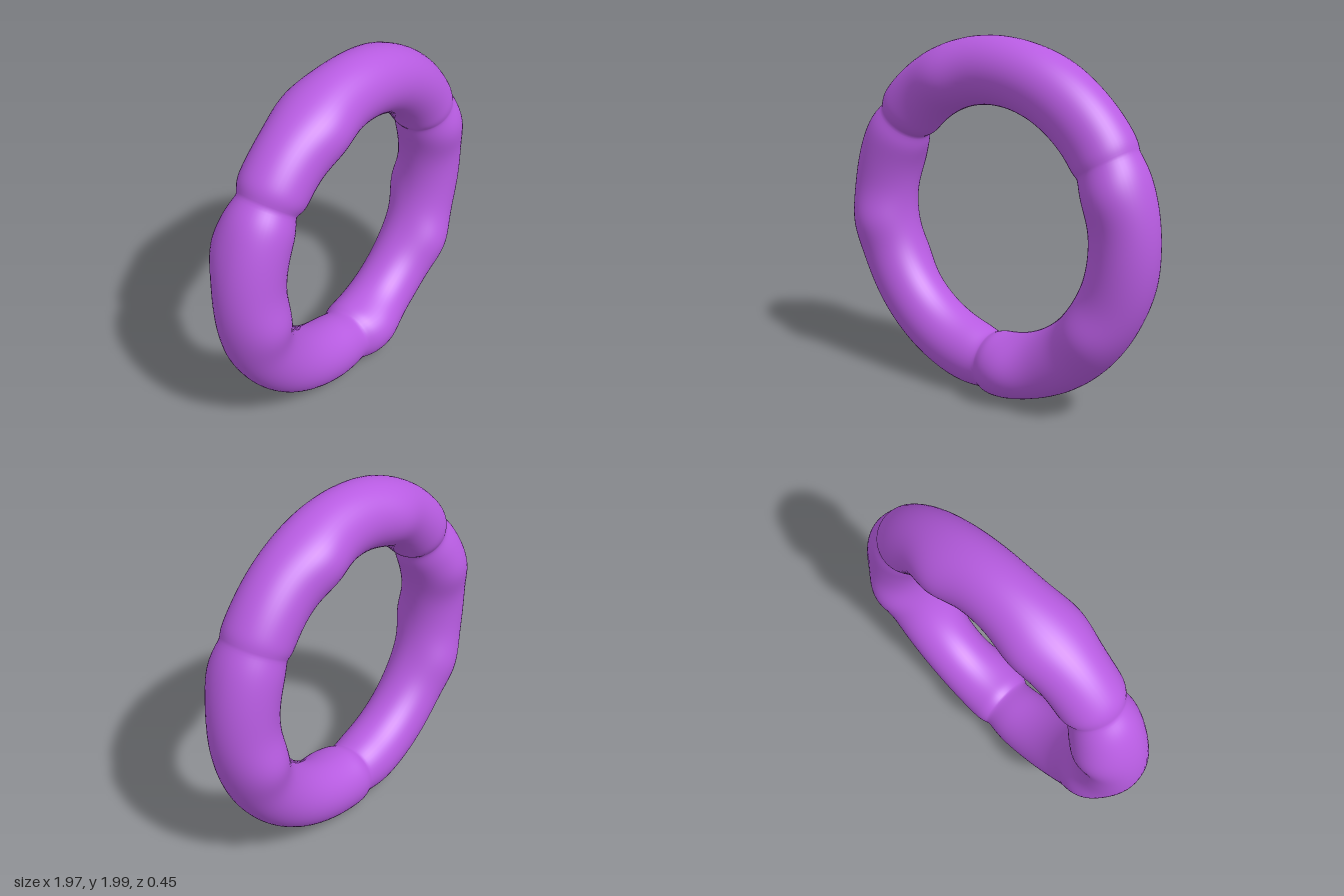
import * as THREE from 'three';
import { ParametricGeometry } from 'three/addons/geometries/ParametricGeometry.js';

const RAD = Math.PI / 180;
const BASE = 0.182; // tube radius

// Gentle swellings along the ring: [angle in degrees, extra depth]
const FRONT_BUMPS = [[111, 0.029], [20, 0.029], [-36, 0.037], [-81, 0.042], [187, 0.035]];
const BACK_BUMPS = [[67, 0.036], [108, 0.028], [160, 0.04], [206, 0.03], [-14, 0.038]];

// Sum of soft bumps at an angle
function swell(deg, bumps) {
  let sum = 0;
  for (const [centre, height] of bumps) {
    const d = ((deg - centre + 540) % 360 + 360) % 360 - 180;
    sum += height * Math.exp(-((d / 10.5) ** 2));
  }
  return sum;
}

// Narrowing of the tube near an end: [angle, amount, length of the rounding]
function pinch(deg, [angle, amount, width]) {
  const d = Math.abs((deg - angle) / width);
  return amount * Math.exp(-Math.pow(d, 1.5));
}

// One third of the ring, running between two ends
function ringSection(start, end) {
  return new ParametricGeometry((u, v, target) => {
    const deg = start[0] + (end[0] - start[0]) * u;
    const a = deg * RAD;
    const phi = v * Math.PI * 2;
    const size = 1 - pinch(deg, start) - pinch(deg, end);
    const centreLine = 0.803 + 0.014 * Math.sin(a) ** 2;
    const rho = centreLine + BASE * size * Math.cos(phi);
    const s = Math.sin(phi);
    const depth = BASE + swell(deg, s > 0 ? FRONT_BUMPS : BACK_BUMPS);
    target.set(rho * Math.cos(a), 1 + rho * Math.sin(a), depth * size * s);
  }, 120, 48);
}

export function createModel() {
  const group = new THREE.Group();
  group.name = 'ring';
  const material = new THREE.MeshStandardMaterial({ color: 0xb85ce2, side: THREE.DoubleSide });

  // Neighbouring sections meet at the same pinched outline
  const sections = [
    ['upperSection', [30, 0.07, 2.5], [142, 0.15, 3]],
    ['leftSection', [142, 0.15, 5], [267.5, 0.11, 6]],
    ['rightSection', [-92.5, 0.11, 3], [30, 0.07, 5]],
  ];
  for (const [name, start, end] of sections) {
    const mesh = new THREE.Mesh(ringSection(start, end), material);
    mesh.name = name;
    group.add(mesh);
  }
  return group;
}
